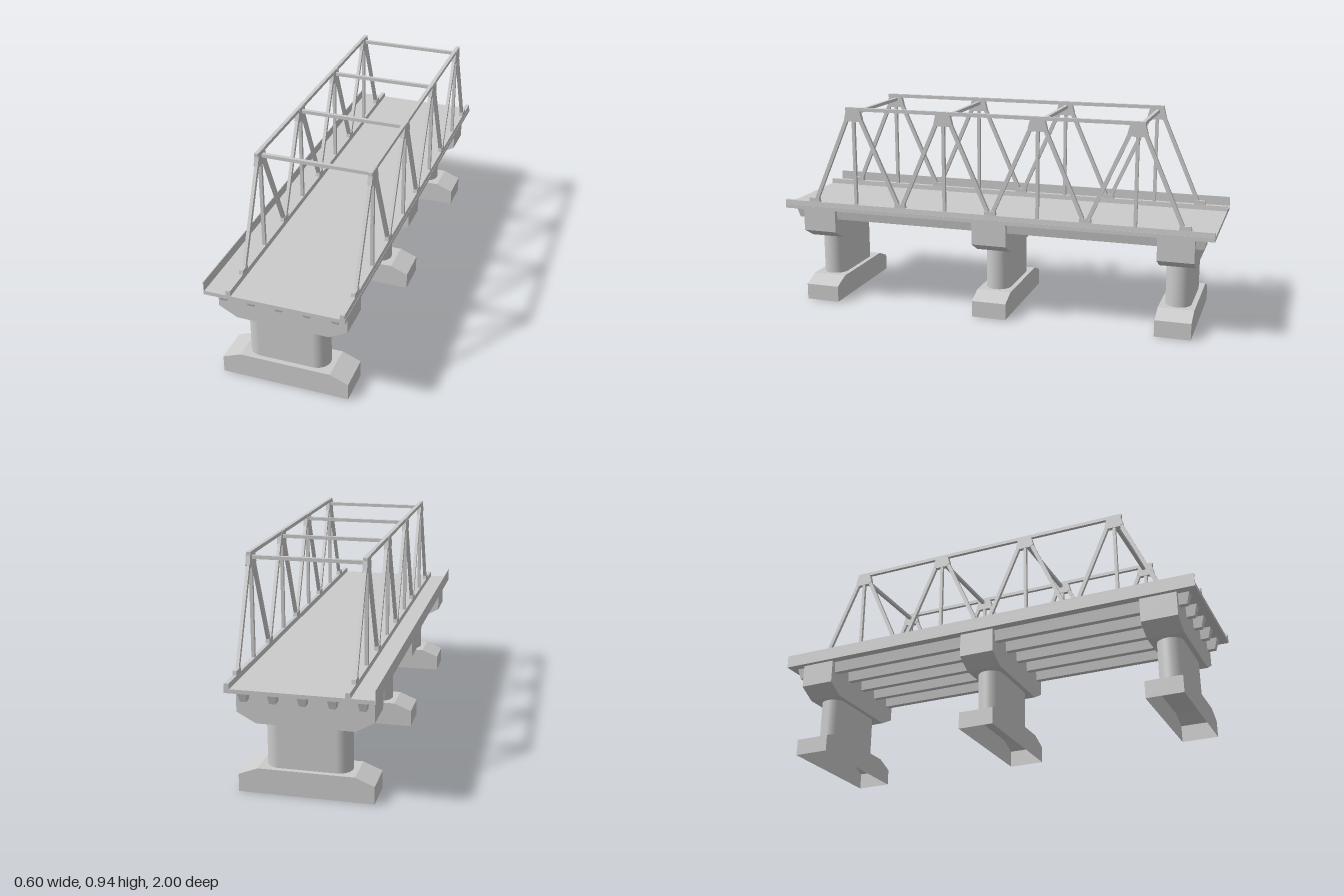
import * as THREE from 'three';

const mat = new THREE.MeshStandardMaterial({ color: 0xcccccc, flatShading: true });
const smooth = new THREE.MeshStandardMaterial({ color: 0xcccccc });
const shellMat = new THREE.MeshStandardMaterial({ color: 0xcccccc, flatShading: true, side: THREE.DoubleSide });

const shapeOf = (pts) => new THREE.Shape(pts.map(([x, y]) => new THREE.Vector2(x, y)));

function add(parent, name, geo, material = mat) {
  const mesh = new THREE.Mesh(geo, material);
  mesh.name = name;
  parent.add(mesh);
  return mesh;
}

// box given by its min and max corners
function box(parent, name, [x0, y0, z0], [x1, y1, z1]) {
  const mesh = add(parent, name, new THREE.BoxGeometry(x1 - x0, y1 - y0, z1 - z0));
  mesh.position.set((x0 + x1) / 2, (y0 + y1) / 2, (z0 + z1) / 2);
  return mesh;
}

// (x, y) section extruded along z, centred on z = 0
function prism(pts, depth) {
  const geo = new THREE.ExtrudeGeometry(shapeOf(pts), { depth, bevelEnabled: false });
  return geo.translate(0, 0, -depth / 2);
}

// (z, y) section extruded along x, centred on x = 0
const sidePlate = (pts, width) => prism(pts, width).rotateY(-Math.PI / 2);

// removes the triangles lying on y = 0, leaving the shell open below
function openBottom(geo) {
  const src = geo.attributes.position.array, out = [];
  for (let i = 0; i < src.length; i += 9) {
    if (Math.max(src[i + 1], src[i + 4], src[i + 7]) > 1e-5) out.push(...src.slice(i, i + 9));
  }
  const open = new THREE.BufferGeometry();
  open.setAttribute('position', new THREE.Float32BufferAttribute(out, 3));
  open.computeVertexNormals();
  return open;
}

// square strut in the plane of a truss, from (z0, y0) to (z1, y1)
function strut(parent, name, [z0, y0], [z1, y1], width, thick) {
  const len = Math.hypot(z1 - z0, y1 - y0);
  const mesh = add(parent, name, new THREE.BoxGeometry(width, len, thick));
  mesh.position.set(0, (y0 + y1) / 2, (z0 + z1) / 2);
  mesh.rotation.x = Math.atan2(z1 - z0, y1 - y0);
}

function makePier() {
  const pier = new THREE.Group();
  pier.name = 'pier';
  add(pier, 'footing', openBottom(prism(
    [[-0.28, 0], [0.28, 0], [0.28, 0.075], [0.2, 0.107], [-0.2, 0.107], [-0.28, 0.075]], 0.16)), shellMat);
  add(pier, 'pierCap', prism(
    [[-0.2, 0.3], [0.2, 0.3], [0.28, 0.343], [0.28, 0.45], [-0.28, 0.45], [-0.28, 0.343]], 0.16));
  // column with rounded ends
  const r = 0.058, c = 0.177 - r;
  const plan = new THREE.Shape();
  plan.absarc(c, 0, r, -Math.PI / 2, Math.PI / 2, false);
  plan.absarc(-c, 0, r, Math.PI / 2, Math.PI * 1.5, false);
  const geo = new THREE.ExtrudeGeometry(plan, { depth: 0.195, bevelEnabled: false, curveSegments: 16 });
  geo.rotateX(-Math.PI / 2).translate(0, 0.106, 0);
  // smooth normals around the rounded ends
  const p = geo.attributes.position, n = geo.attributes.normal, v = new THREE.Vector3();
  for (let i = 0; i < p.count; i++) {
    if (Math.abs(n.getY(i)) > 0.5) continue;
    const x = p.getX(i);
    v.set(x - THREE.MathUtils.clamp(x, -c, c), 0, p.getZ(i)).normalize();
    n.setXYZ(i, v.x, v.y, v.z);
  }
  add(pier, 'column', geo, smooth);
  return pier;
}

function makeTruss() {
  const truss = new THREE.Group();
  truss.name = 'truss';
  const tops = [0.638, 0.204, -0.229, -0.662];
  const feet = [0.85, 0.419, -0.0125, -0.444, -0.875];
  const w = 0.016, yTop = 0.925, yFoot = 0.475;

  box(truss, 'topChord', [-w / 2, 0.924, -0.695], [w / 2, 0.94, 0.675]);
  // kerb carrying the truss
  add(truss, 'kerb', prism(
    [[-0.011, 0.465], [0.011, 0.465], [0.009, 0.489], [-0.009, 0.489]], 2));

  tops.forEach((z, i) => {
    strut(truss, 'post', [z, yFoot], [z, yTop], w * 0.9, 0.014);
    for (const foot of [feet[i], feet[i + 1]]) {
      const side = Math.sign(foot - z);
      strut(truss, 'diagonal', [foot, yFoot], [z + side * 0.016, yTop], w * 0.9, 0.017);
    }
    const plate = add(truss, 'topGusset', sidePlate(
      [[-0.028, 0.876], [0.028, 0.876], [0.043, 0.888], [0.03, 0.938], [-0.03, 0.938], [-0.043, 0.888]], 0.019));
    plate.position.z = z;
  });
  for (const z of feet) {
    const plate = add(truss, 'footGusset', sidePlate(
      [[-0.03, 0.47], [0.03, 0.47], [0.024, 0.507], [-0.024, 0.507]], 0.018));
    plate.position.z = z;
  }
  return { truss, tops };
}

export function createModel() {
  const bridge = new THREE.Group();
  bridge.name = 'bridge';

  // deck with an outer walkway and its thin edge wall
  box(bridge, 'deck', [-0.3, 0.45, -1], [0.3, 0.467, 1]);
  box(bridge, 'walkwayWall', [-0.3, 0.465, -1], [-0.296, 0.509, 1]);

  // girders under the deck, with sloped ends
  for (let i = -2; i <= 2; i++) {
    const geo = prism([[-0.013, 0.4], [0.013, 0.4], [0.021, 0.45], [-0.021, 0.45]], 1.93);
    const p = geo.attributes.position;
    for (let k = 0; k < p.count; k++) if (p.getY(k) < 0.42) p.setZ(k, p.getZ(k) * 0.985);
    geo.computeVertexNormals();
    add(bridge, 'girder', geo).position.x = i * 0.12;
  }

  // piers
  for (const z of [0.836, 0, -0.836]) {
    const pier = makePier();
    pier.position.z = z;
    bridge.add(pier);
  }

  // trusses and the beams joining their tops
  for (const x of [-0.192, 0.288]) {
    const { truss, tops } = makeTruss();
    truss.position.x = x;
    bridge.add(truss);
    if (x > 0) {
      for (const z of tops) box(bridge, 'crossBeam', [-0.19, 0.908, z - 0.013], [0.286, 0.923, z + 0.003]);
    }
  }
  return bridge;
}
